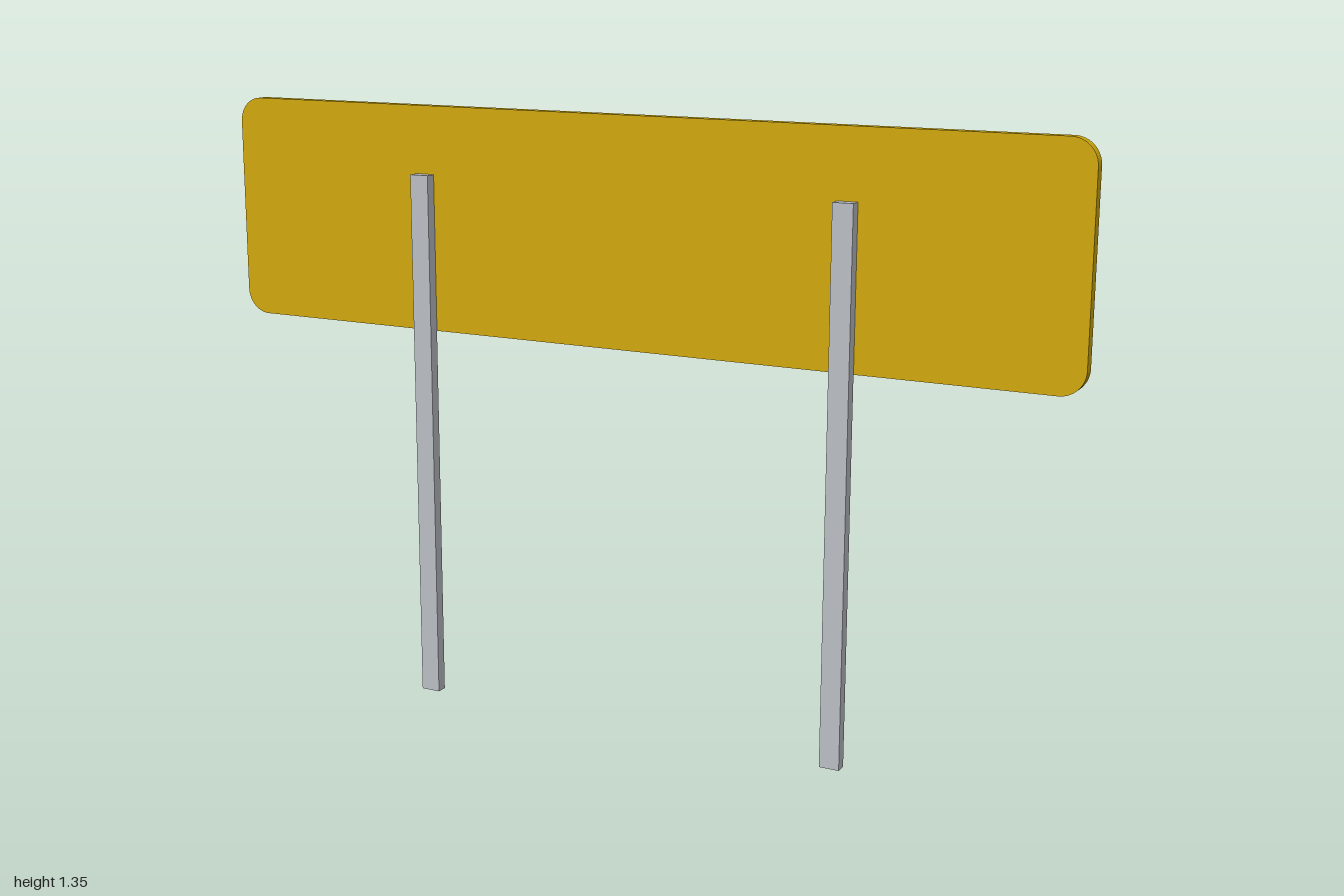
import * as THREE from 'three';

const yellow = new THREE.MeshStandardMaterial({ color: 0xd2aa0e });
yellow.name = 'sign yellow';
const black = new THREE.MeshStandardMaterial({ color: 0x0a0a0a });
black.name = 'chevron black';
const grey = new THREE.MeshStandardMaterial({ color: 0xbcc0c6 });
grey.name = 'post grey';

// Closed polygon with every corner softened by a curve that starts r from it
function roundedPolygon(points, r) {
  const pts = points.map(([x, y]) => new THREE.Vector2(x, y));
  const shape = new THREE.Shape();
  pts.forEach((p, i) => {
    const prev = pts[(i + pts.length - 1) % pts.length];
    const next = pts[(i + 1) % pts.length];
    const a = p.clone().add(prev.clone().sub(p).setLength(r));
    const b = p.clone().add(next.clone().sub(p).setLength(r));
    if (i === 0) shape.moveTo(a.x, a.y);
    else shape.lineTo(a.x, a.y);
    shape.quadraticCurveTo(p.x, p.y, b.x, b.y);
  });
  shape.closePath();
  return shape;
}

// Rectangle with true circular corners
function roundedRect(x0, y0, x1, y1, r) {
  const s = new THREE.Shape();
  s.absarc(x1 - r, y0 + r, r, -Math.PI / 2, 0);
  s.absarc(x1 - r, y1 - r, r, 0, Math.PI / 2);
  s.absarc(x0 + r, y1 - r, r, Math.PI / 2, Math.PI);
  s.absarc(x0 + r, y0 + r, r, Math.PI, Math.PI * 1.5);
  s.closePath();
  return s;
}

function plate(name, shape, depth, z, material) {
  const geometry = new THREE.ExtrudeGeometry(shape, { depth, bevelEnabled: false, curveSegments: 8 });
  const mesh = new THREE.Mesh(geometry, material);
  mesh.name = name;
  mesh.position.z = z;
  return mesh;
}

export function createModel() {
  const model = new THREE.Group();
  model.name = 'chevronRoadSign';

  // Sign panel
  model.add(plate('panel', roundedRect(-1, 0.85, 1, 1.35, 0.055), 0.025, -0.025, yellow));

  // Four chevrons on the rear face, pointing to +x
  const chevron = roundedPolygon([
    [0.235, 0], [0, 0.196], [-0.24, 0.196],
    [-0.005, 0], [-0.24, -0.196], [0, -0.196],
  ], 0.035);
  for (let i = 0; i < 4; i++) {
    const mesh = plate('chevron' + (i + 1), chevron, 0.002, -0.0265, black);
    mesh.position.x = 0.718 - i * 0.475;
    mesh.position.y = 1.098;
    model.add(mesh);
  }

  // Posts
  for (const [name, x] of [['leftPost', 0.5], ['rightPost', -0.5]]) {
    const post = new THREE.Mesh(new THREE.BoxGeometry(0.045, 1.2, 0.025), grey);
    post.name = name;
    post.position.set(x, 0.6, 0.0125);
    model.add(post);
  }
  return model;
}
